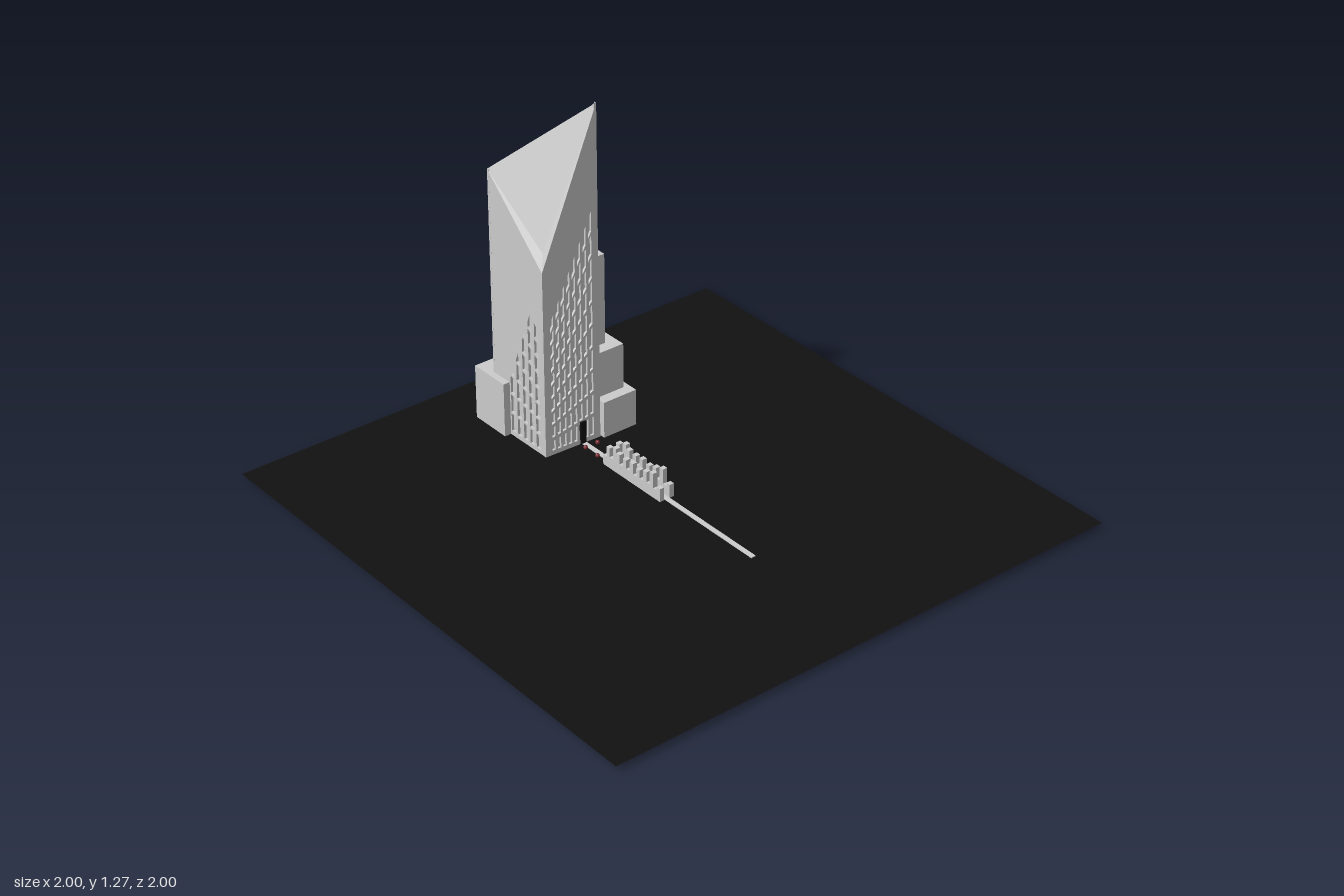
import * as THREE from 'three';

const grey = new THREE.MeshStandardMaterial({ color: 0xcccccc, flatShading: true });
const black = new THREE.MeshStandardMaterial({ color: 0x111111, side: THREE.DoubleSide });
const red = new THREE.MeshStandardMaterial({ color: 0x7a2a30 });

const GROUND = 0.018;
const DEPTH = 0.009; // thickness of the facade skin

// Tower corners: plan position, roof height, top of the window grid
const corners = [
  { x: -0.156, z: -0.446, top: 0.72, grid: 0.48 }, // front, -x
  { x: 0.067, z: -0.437, top: 1.267, grid: 0.955 }, // front, +x
  { x: 0.085, z: -0.727, top: 0.99, grid: 0.735 }, // back, +x
  { x: -0.158, z: -0.73, top: 0.988, grid: 0.71 }, // back, -x
];

function add(parent, name, geometry, material = grey) {
  const mesh = new THREE.Mesh(geometry, material);
  mesh.name = name;
  parent.add(mesh);
  return mesh;
}

// Box given by its minimum and maximum on each axis
function block(parent, name, x0, x1, y0, y1, z0, z1, material) {
  const mesh = add(parent, name, new THREE.BoxGeometry(x1 - x0, y1 - y0, z1 - z0), material);
  mesh.position.set((x0 + x1) / 2, (y0 + y1) / 2, (z0 + z1) / 2);
  return mesh;
}

function fromTriangles(points, triangles) {
  const g = new THREE.BufferGeometry();
  g.setAttribute('position', new THREE.Float32BufferAttribute(points.flat(), 3));
  g.setIndex(triangles.flat());
  const flat = g.toNonIndexed();
  flat.computeVertexNormals();
  return flat;
}

const polygon = (pts, Kind) => new Kind(pts.map(([u, y]) => new THREE.Vector2(u, y)));

// One facade: slanted outline pierced by a window grid that fans up to the slanted top
function facade(parent, name, a, b, { columns, rows, mullion, rail, framed }) {
  const dx = b.x - a.x, dz = b.z - a.z, width = Math.hypot(dx, dz);
  const lerp = (key, u) => THREE.MathUtils.lerp(a[key], b[key], u / width);
  const shape = polygon([[0, 0], [width, 0], [width, b.top], [0, a.top]], THREE.Shape);
  const margin = 0.022, base = 0.035;
  const step = (width - 2 * margin) / columns;
  for (let c = 0; c < columns; c++) {
    const u0 = margin + c * step + mullion / 2, u1 = u0 + step - mullion;
    const level = (u, v) => base + (lerp('grid', u) - base) * v;
    for (let r = 0; r < rows; r++) {
      const v0 = r / rows, v1 = (r + 1) / rows;
      shape.holes.push(polygon([
        [u0, level(u0, v0)], [u0, level(u0, v1) - rail],
        [u1, level(u1, v1) - rail], [u1, level(u1, v0)],
      ], THREE.Path));
    }
  }
  // Large sunken panel above the windows
  if (framed) {
    const u0 = 0.03, u1 = width - 0.03;
    shape.holes.push(polygon([
      [u0, lerp('grid', u0) + 0.055], [u0, lerp('top', u0) - 0.035],
      [u1, lerp('top', u1) - 0.035], [u1, lerp('grid', u1) + 0.055],
    ], THREE.Path));
  }
  const geometry = new THREE.ExtrudeGeometry(shape, { depth: DEPTH, bevelEnabled: false });
  geometry.translate(0, 0, -DEPTH);
  const mesh = add(parent, name, geometry);
  mesh.position.set(a.x, 0, a.z);
  mesh.rotation.y = Math.atan2(-dz, dx);
}

function tower() {
  const group = new THREE.Group();
  group.name = 'tower';
  const [fl, fr, br, bl] = corners;

  // Solid core behind the facade skin
  const cx = -0.04, cz = -0.585;
  const inset = (p, y) => [p.x - Math.sign(p.x - cx) * DEPTH, y, p.z - Math.sign(p.z - cz) * DEPTH];
  const pts = [...corners.map(p => inset(p, 0)), ...corners.map(p => inset(p, p.top - 0.02))];
  const faces = [[0, 2, 1], [0, 3, 2], [5, 6, 7], [5, 7, 4]];
  for (let i = 0; i < 4; i++) {
    const j = (i + 1) % 4;
    faces.push([i, j, j + 4], [i, j + 4, i + 4]);
  }
  add(group, 'towerCore', fromTriangles(pts, faces));

  // Folded roof with a bevelled low corner
  const top = p => [p.x, p.top, p.z];
  add(group, 'foldedRoof', fromTriangles(
    [top(fl), top(fr), top(br), top(bl), [-0.135, 0.777, -0.468]],
    [[1, 2, 3], [1, 3, 4], [3, 0, 4], [0, 1, 4]],
  ));

  facade(group, 'frontFacade', fl, fr, { columns: 8, rows: 10, mullion: 0.009, rail: 0.014 });
  const side = { columns: 7, rows: 8, mullion: 0.011, rail: 0.008, framed: true };
  facade(group, 'rightFacade', fr, br, side);
  facade(group, 'backFacade', br, bl, { ...side, framed: false });
  facade(group, 'leftFacade', bl, fl, side);

  block(group, 'entrance', -0.016, 0.006, 0.015, 0.105, -0.46, -0.434, black);
  return group;
}

// Stepped volumes leaning against the tower
function annexes() {
  const group = new THREE.Group();
  group.name = 'annexes';
  block(group, 'lowAnnex', 0.072, 0.21, 0, 0.155, -0.548, -0.422);
  block(group, 'midAnnex', 0.05, 0.188, 0, 0.325, -0.697, -0.462);
  block(group, 'shaftAnnex', 0.05, 0.145, 0, 0.665, -0.562, -0.505);
  block(group, 'tallAnnex', 0.05, 0.129, 0, 0.775, -0.662, -0.53);
  block(group, 'backAnnex', -0.183, -0.065, 0, 0.222, -0.802, -0.64);
  return group;
}

// Jagged rows of small blocks on both sides of the path
function rows() {
  const group = new THREE.Group();
  group.name = 'blockRows';
  const heights = [0.068, 0.055, 0.11, 0.06, 0.098, 0.058, 0.088, 0.055, 0.095,
    0.06, 0.092, 0.06, 0.095, 0.11, 0.062, 0.095, 0.055];
  const step = 0.3 / heights.length;
  heights.forEach((h, i) => {
    const z1 = 0.005 - i * step;
    block(group, 'rowBlock', -0.032, -0.014, 0.014, h, z1 - step, z1);
    block(group, 'rowBlock', 0.009, 0.027, 0.014, h, z1 - step, z1);
  });
  return group;
}

export function createModel() {
  const model = new THREE.Group();
  model.name = 'towerSite';

  const ground = add(model, 'ground', new THREE.PlaneGeometry(2, 2), black);
  ground.rotation.x = -Math.PI / 2;
  ground.position.y = GROUND;

  model.add(tower(), annexes(), rows());
  block(model, 'path', -0.011, 0.007, 0.015, 0.021, -0.44, 0.44);

  // Red markers beside the path
  for (const x of [-0.025, 0.026]) {
    for (const z of [-0.335, -0.4]) {
      add(model, 'marker', new THREE.SphereGeometry(0.008, 12, 8), red).position.set(x, 0.029, z);
    }
  }
  return model;
}
